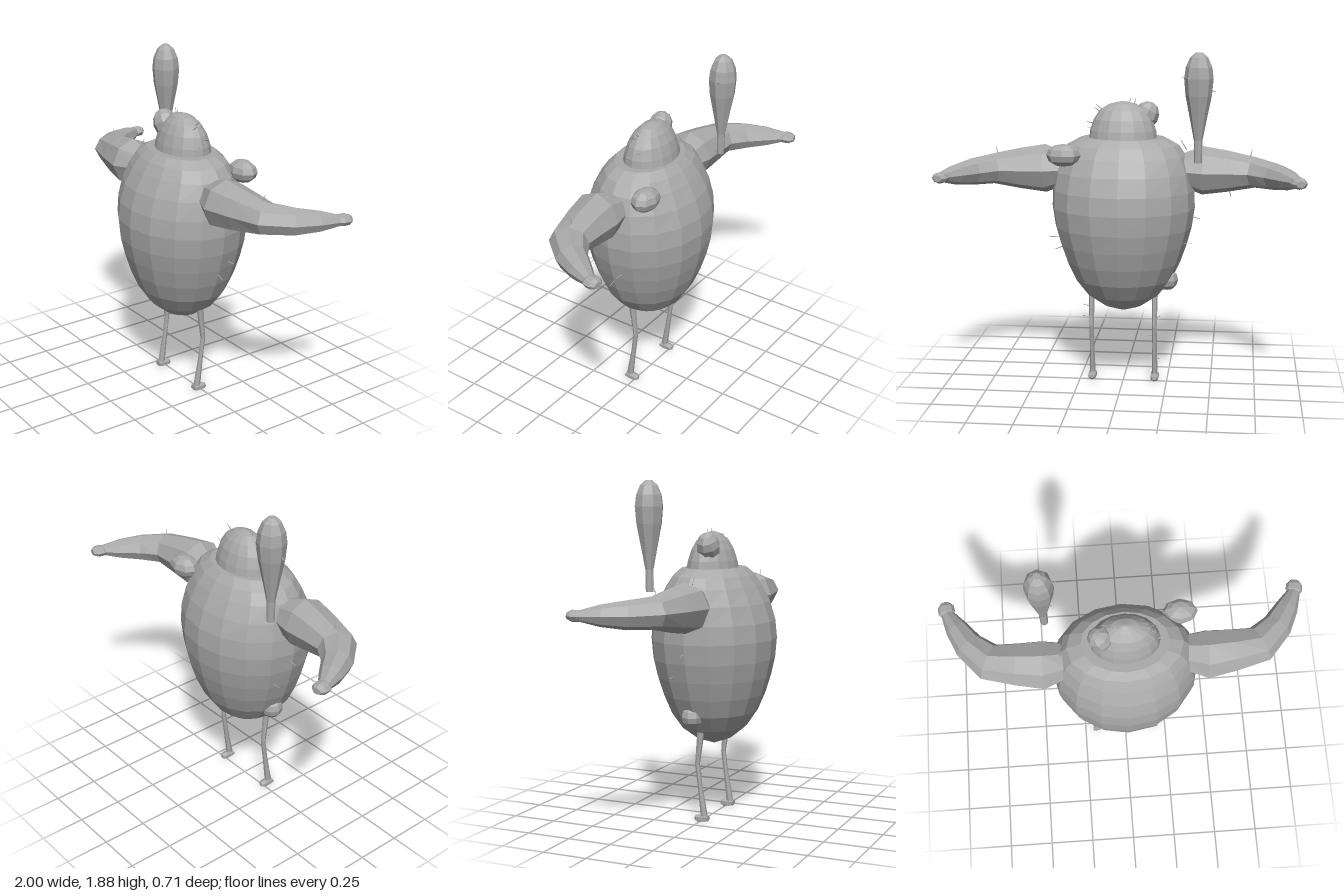
import * as THREE from 'three';

const grey = new THREE.MeshStandardMaterial({ color: 0xa9a9a9, flatShading: true });
grey.name = 'plain grey';

const X = new THREE.Vector3(1, 0, 0);
const Y = new THREE.Vector3(0, 1, 0);
const Z = new THREE.Vector3(0, 0, 1);

// Skin a row of elliptical rings [x, y, z, width, height]; both ends are capped.
function loft(rings, sides, ref) {
  const centres = rings.map(r => new THREE.Vector3(r[0], r[1], r[2]));
  const last = rings.length - 1;
  const pos = [], index = [];
  rings.forEach((r, i) => {
    const t = centres[Math.min(i + 1, last)].clone().sub(centres[Math.max(i - 1, 0)]).normalize();
    const side = ref.clone().cross(t).normalize();
    const up = t.clone().cross(side);
    for (let j = 0; j < sides; j++) {
      const a = (j / sides) * Math.PI * 2;
      const p = centres[i].clone()
        .addScaledVector(side, Math.cos(a) * r[3])
        .addScaledVector(up, Math.sin(a) * r[4]);
      pos.push(p.x, p.y, p.z);
    }
  });
  const start = (last + 1) * sides;
  pos.push(...centres[0].toArray(), ...centres[last].toArray());
  for (let j = 0; j < sides; j++) {
    const k = (j + 1) % sides;
    for (let i = 0; i < last; i++) {
      const a = i * sides + j, b = i * sides + k;
      index.push(a, b, b + sides, a, b + sides, a + sides);
    }
    index.push(start, k, j, start + 1, last * sides + j, last * sides + k);
  }
  const g = new THREE.BufferGeometry();
  g.setAttribute('position', new THREE.Float32BufferAttribute(pos, 3));
  g.setIndex(index);
  g.computeVertexNormals();
  return g;
}

function add(parent, name, geometry) {
  const m = new THREE.Mesh(geometry, grey);
  m.name = name;
  parent.add(m);
  return m;
}

function lump(parent, name, x, y, z, rx, ry, rz) {
  const m = add(parent, name, new THREE.SphereGeometry(1, 8, 6));
  m.position.set(x, y, z);
  m.scale.set(rx, ry, rz);
  return m;
}

export function createModel() {
  const model = new THREE.Group();
  model.name = 'eggCreature';

  // Egg-shaped body with a flat collar: [y, half width, half depth]
  const body = [
    [0.42, 0.005, 0.005], [0.455, 0.11, 0.1], [0.52, 0.205, 0.18], [0.61, 0.275, 0.24],
    [0.71, 0.322, 0.282], [0.81, 0.357, 0.312], [0.91, 0.384, 0.333], [1.02, 0.4, 0.341],
    [1.12, 0.397, 0.33], [1.22, 0.38, 0.298], [1.31, 0.35, 0.25], [1.37, 0.31, 0.21], [1.41, 0.235, 0.17],
  ];
  add(model, 'body', loft(body.map(([y, w, d]) => [0, y, 0.01, w, d]), 16, Z));

  // Domed head
  const head = [
    [1.39, 0.19, 0.14], [1.45, 0.183, 0.128], [1.51, 0.163, 0.108],
    [1.56, 0.13, 0.079], [1.595, 0.075, 0.045], [1.61, 0.01, 0.006],
  ];
  add(model, 'head', loft(head.map(([y, w, d]) => [0, y, 0, w, d]), 16, Z));

  // Warty lumps on the head, shoulder and lower side
  lump(model, 'headLump', -0.125, 1.53, 0.03, 0.07, 0.08, 0.066).rotation.z = 0.5;
  lump(model, 'shoulderLump', 0.308, 1.33, -0.175, 0.095, 0.062, 0.07);
  lump(model, 'hipLump', -0.25, 0.61, -0.01, 0.062, 0.062, 0.062);

  // Floating club
  const club = [
    [1.3, 0.021], [1.42, 0.023], [1.55, 0.048], [1.66, 0.07],
    [1.75, 0.078], [1.81, 0.07], [1.86, 0.048], [1.885, 0.02],
  ];
  add(model, 'club', loft(club.map(([y, r]) => [-0.42, y, -0.178, r, r]), 8, Z));

  for (const s of [1, -1]) {
    const label = s > 0 ? 'left' : 'right';

    // Arm sweeping back, with a small fist
    const arm = [
      [0.32, 1.23, 0.02, 0.1, 0.09], [0.44, 1.225, 0.04, 0.137, 0.136],
      [0.58, 1.225, 0.025, 0.12, 0.115], [0.73, 1.225, 0.0, 0.105, 0.085],
      [0.835, 1.22, -0.1, 0.082, 0.074], [0.9, 1.22, -0.205, 0.062, 0.056],
      [0.95, 1.22, -0.295, 0.034, 0.029],
    ];
    add(model, label + 'Arm', loft(arm.map(([x, ...r]) => [s * x, ...r]), 8, Y));
    const hand = [
      [0.945, 1.22, -0.278, 0.03, 0.022], [0.95, 1.22, -0.3, 0.046, 0.03],
      [0.956, 1.22, -0.335, 0.044, 0.03], [0.961, 1.22, -0.358, 0.024, 0.018],
    ];
    add(model, label + 'Hand', loft(hand.map(([x, ...r]) => [s * x, ...r]), 8, Y));

    // Thin leg bent at the knee
    const leg = [
      [0.18, 0.525, 0.01, 0.017, 0.021], [0.18, 0.33, -0.012, 0.013, 0.014],
      [0.18, 0.2, 0.005, 0.013, 0.014], [0.18, 0.05, 0.027, 0.017, 0.02],
      [0.18, 0.01, 0.03, 0.018, 0.022],
    ];
    add(model, label + 'Leg', loft(leg.map(([x, ...r]) => [s * x, ...r]), 6, Z));
    const foot = [
      [0.18, 0.028, 0.052, 0.016, 0.026], [0.18, 0.025, 0.01, 0.021, 0.025],
      [0.18, 0.024, -0.012, 0.021, 0.024], [0.18, 0.026, -0.026, 0.012, 0.014],
    ];
    add(model, label + 'Foot', loft(foot.map(([x, ...r]) => [s * x, ...r]), 6, X));
  }

  // Sparse bristles: root x, y, z and the vector to the tip
  const hairs = new THREE.Group();
  hairs.name = 'bristles';
  model.add(hairs);
  [
    [0.36, 0.85, -0.05, 0.05, 0, 0], [0.34, 0.785, 0.01, 0.05, -0.02, 0],
    [-0.38, 0.97, 0, -0.05, -0.01, 0], [-0.34, 0.835, -0.08, -0.05, 0, 0],
    [0.7, 1.3, 0, 0.015, 0.05, 0], [-0.7, 1.3, 0, -0.01, 0.05, 0],
    [-0.35, 1.34, 0.04, 0.03, 0.05, 0], [-0.59, 1.12, 0.02, -0.01, -0.04, 0],
    [0.11, 1.56, 0, 0.04, 0.03, 0], [0.13, 1.55, 0.02, 0.03, 0.02, 0],
    [0.16, 1.49, -0.03, 0.04, 0.01, 0], [0.17, 1.46, 0.02, 0.03, 0, 0],
    [-0.06, 1.59, 0, -0.01, 0.035, 0], [-0.03, 1.59, 0.01, -0.01, 0.035, 0],
    [-0.37, 1.75, -0.2, 0.04, 0.01, 0], [-0.48, 1.69, -0.17, -0.03, -0.01, 0],
    [-0.39, 1.58, -0.15, 0.03, 0, 0], [0.19, 0.38, 0, 0.04, 0, 0],
    [0.19, 0.44, 0, 0.04, 0.01, 0], [0.18, 0.26, 0, -0.04, -0.02, 0.02],
    [-0.18, 0.38, 0, -0.04, 0.01, 0], [-0.17, 0.28, 0, 0.03, -0.01, 0],
    [-0.18, 0.14, 0.015, -0.03, -0.01, 0],
  ].forEach(([x, y, z, dx, dy, dz]) => {
    const d = new THREE.Vector3(dx, dy, dz);
    const hair = add(hairs, 'bristle', new THREE.CylinderGeometry(0.0015, 0.003, d.length(), 4));
    hair.position.set(x + dx / 2, y + dy / 2, z + dz / 2);
    hair.quaternion.setFromUnitVectors(Y, d.normalize());
  });

  return model;
}
